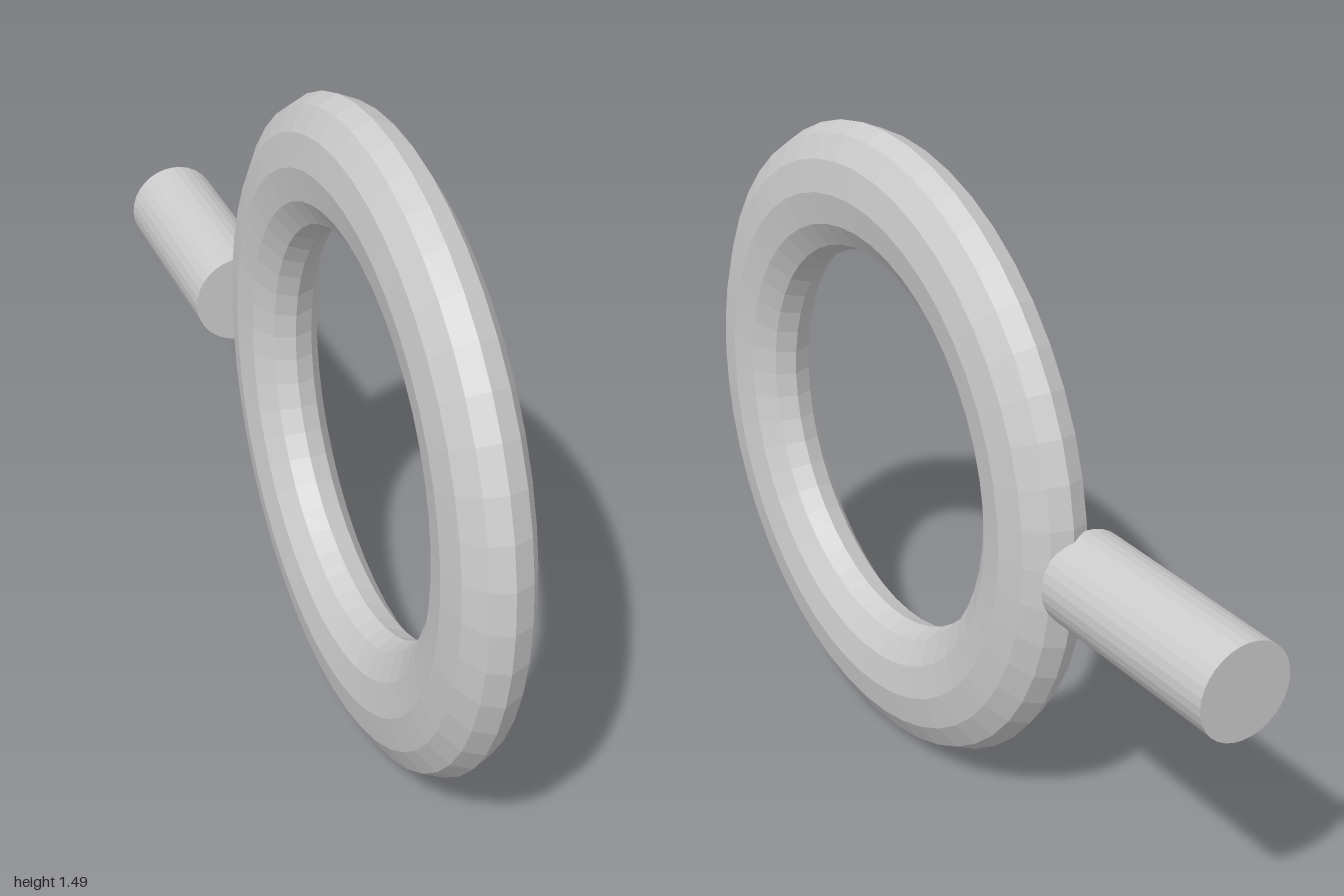
import * as THREE from 'three';

export function createModel() {
  const group = new THREE.Group();
  const material = new THREE.MeshStandardMaterial({ color: 0xcccccc, flatShading: true });
  const add = (name, geometry, x, y, z) => {
    const mesh = new THREE.Mesh(geometry, material);
    mesh.name = name;
    mesh.position.set(x, y, z);
    group.add(mesh);
  };

  // Upright ring with an oval section, flattened along its axis
  const ring = new THREE.TorusGeometry(0.598, 0.148, 12, 48);
  ring.scale(1, 1, 0.092 / 0.148);
  ring.rotateY(Math.PI / 2);
  add('ring', ring, 0.028, 0.746, 0.254);

  // Round peg behind the ring, its front end just inside the rim
  const peg = new THREE.CylinderGeometry(0.11, 0.11, 0.53, 32);
  peg.rotateX(Math.PI / 2);
  add('peg', peg, -0.014, 0.714, -0.735);

  return group;
}
